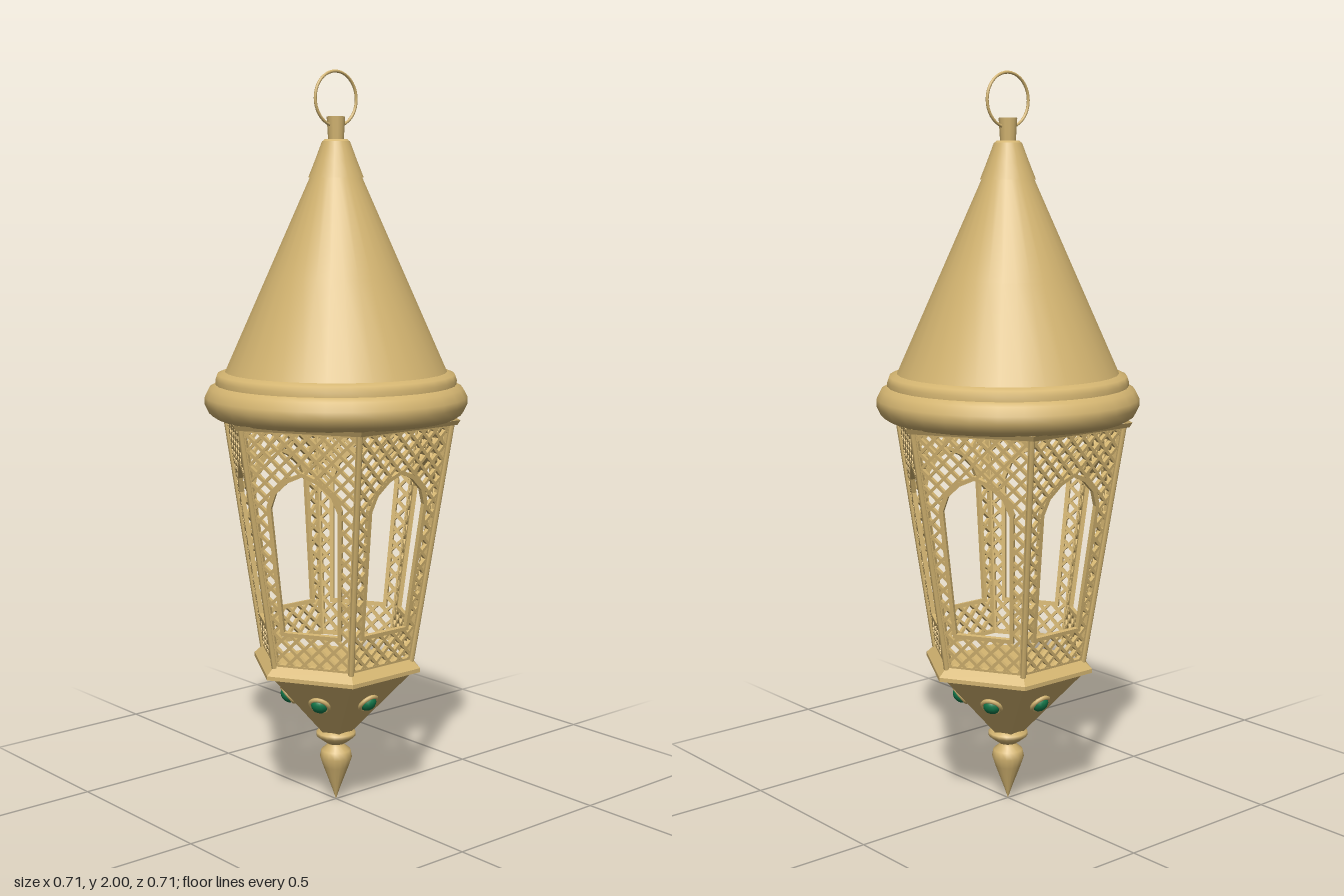
import * as THREE from 'three';
import { mergeGeometries } from 'three/addons/utils/BufferGeometryUtils.js';

const gold = new THREE.MeshStandardMaterial({ color: 0xd4b571 });
gold.name = 'brass';
const brassOpen = new THREE.MeshStandardMaterial({ color: 0xd4b571, side: THREE.DoubleSide });
brassOpen.name = 'brass double sided';
const green = new THREE.MeshStandardMaterial({ color: 0x12784a });
green.name = 'emerald';

const SIDES = 6, Y0 = 0.42, Y1 = 1.08, R0 = 0.217, R1 = 0.325;
const APO = Math.cos(Math.PI / 6);

function add(parent, name, geometry, material = gold) {
  const mesh = new THREE.Mesh(geometry, material);
  mesh.name = name;
  parent.add(mesh);
  return mesh;
}

function flat(geometry) {
  const g = geometry.toNonIndexed();
  g.computeVertexNormals();
  return g;
}

const lathe = (pts, n) =>
  new THREE.LatheGeometry(pts.map(([r, y]) => new THREE.Vector2(r, y)), n);

// Hexagonal frustum with a flat side facing +z
function hex(rTop, rBottom, yBottom, yTop, open) {
  const g = new THREE.CylinderGeometry(rTop, rBottom, yTop - yBottom, SIDES, 1, open, Math.PI / 6);
  return flat(g.translate(0, (yTop + yBottom) / 2, 0));
}

// Keep the part of a convex polygon left of the line a-b
function clip(poly, a, b) {
  const side = p => (b[0] - a[0]) * (p[1] - a[1]) - (b[1] - a[1]) * (p[0] - a[0]);
  const out = [];
  poly.forEach((p, i) => {
    const q = poly[(i + 1) % poly.length], sp = side(p), sq = side(q);
    if (sp >= 0) out.push(p);
    if (sp * sq < 0) {
      const k = sp / (sp - sq);
      out.push([p[0] + (q[0] - p[0]) * k, p[1] + (q[1] - p[1]) * k]);
    }
  });
  return out;
}

const area = poly => poly.reduce((s, p, i) => {
  const q = poly[(i + 1) % poly.length];
  return s + (p[0] * q[1] - q[0] * p[1]) / 2;
}, 0);

const toPath = (poly, Type) => new Type(poly.map(p => new THREE.Vector2(p[0], p[1])));

// Flat plate with an optional hole
function plate(outline, hole, depth) {
  const shape = toPath(outline, THREE.Shape);
  if (hole) shape.holes.push(toPath(hole, THREE.Path));
  return new THREE.ExtrudeGeometry(shape, { depth, bevelEnabled: false }).translate(0, 0, -0.006 - depth / 2);
}

// Arched window outline, widened by d
function windowOutline(d) {
  const right = [[0.075, 0.105], [0.092, 0.45], [0.076, 0.492], [0.04, 0.525], [0, 0.543]];
  const left = right.slice(0, 4).reverse().map(([x, y]) => [-x, y]);
  return [...right, ...left].map(([x, y]) =>
    [x * (1 + d / 0.085), 0.325 + (y - 0.325) * (1 + d / 0.22)]);
}

// Trapezoid panel outline, inset by d
function panelOutline(height, d) {
  const a = R0 / 2 - d, b = R1 / 2 - d;
  return [[-a, d], [a, d], [b, height - d], [-b, height - d]];
}

// Diagonal bars filling the panel around the window
function latticeGeometry(height) {
  const border = panelOutline(height, 0.011), frame = windowOutline(0.011);
  const pieces = [], w = 0.0057;
  for (const lean of [-height, height]) {
    for (let i = -21; i <= 21; i++) {
      const c = i * 0.042 - lean / 2;
      let bar = [[c - w, 0], [c + w, 0], [c + w + lean, height], [c - w + lean, height]];
      border.forEach((a, k) => { bar = clip(bar, a, border[(k + 1) % 4]); });
      // Cut the window out of the bar, one edge at a time
      frame.forEach((a, k) => {
        const b = frame[(k + 1) % frame.length];
        const outside = clip(bar, b, a);
        if (area(outside) > 1e-6) pieces.push(plate(outside, null, 0.011));
        bar = clip(bar, a, b);
      });
    }
  }
  return mergeGeometries(pieces);
}

export function createModel() {
  const lantern = new THREE.Group();
  lantern.name = 'lantern';

  // Roof: rounded collar, small step and tall cone
  add(lantern, 'roofCollar', lathe([
    [0.27, 1.09], [0.325, 1.085], [0.343, 1.097], [0.354, 1.12], [0.354, 1.14],
    [0.342, 1.163], [0.325, 1.173]], 32), brassOpen);
  add(lantern, 'roofStep', lathe([[0.325, 1.17], [0.325, 1.185], [0.32, 1.2], [0.298, 1.207]], 32), brassOpen);
  add(lantern, 'roofCone', lathe([[0.302, 1.2], [0.186, 1.46], [0.07, 1.72]], 32), brassOpen);
  add(lantern, 'roofCap', lathe([[0.074, 1.72], [0.056, 1.765], [0.037, 1.815]], 24), brassOpen);
  add(lantern, 'roofCapTop', new THREE.CylinderGeometry(0.03, 0.037, 0.006, 24)).position.y = 1.817;
  add(lantern, 'stem', new THREE.CylinderGeometry(0.025, 0.021, 0.062, 12)).position.y = 1.848;
  add(lantern, 'hangingRing', new THREE.TorusGeometry(0.071, 0.004, 8, 40)).position.y = 1.925;

  // Lips above and below the lattice body
  add(lantern, 'upperLip', hex(0.348, 0.34, 1.075, 1.088, true), brassOpen);
  add(lantern, 'lowerLip', hex(0.243, 0.243, 0.391, 0.402, true));
  add(lantern, 'lowerLipSlope', hex(0.218, 0.243, 0.402, 0.425, true));

  // Six pierced panels and corner posts
  const rise = Y1 - Y0;
  const tilt = Math.atan2((R1 - R0) * APO, rise);
  const slant = Math.hypot((R1 - R0) * APO, rise);
  const borderGeo = plate(panelOutline(slant, 0), panelOutline(slant, 0.011), 0.012);
  const frameGeo = plate(windowOutline(0.011), windowOutline(0), 0.012);
  const latticeGeo = latticeGeometry(slant);
  const postGeo = new THREE.CylinderGeometry(0.008, 0.008, Math.hypot(R1 - R0, rise), 6);
  const gemTilt = Math.atan2(0.172 * APO, 0.185);
  for (let k = 0; k < SIDES; k++) {
    const side = new THREE.Group();
    side.name = 'lanternSide' + (k + 1);
    side.rotation.y = k * Math.PI / 3;
    lantern.add(side);

    const panel = new THREE.Group();
    panel.name = 'panel';
    panel.position.set(0, Y0, R0 * APO);
    panel.rotation.x = tilt;
    side.add(panel);
    add(panel, 'panelBorder', borderGeo);
    add(panel, 'windowFrame', frameGeo);
    add(panel, 'lattice', latticeGeo);

    const post = add(side, 'cornerPost', postGeo);
    post.position.set((R0 + R1) / 2, (Y0 + Y1) / 2, 0);
    post.rotation.z = -Math.atan2(R1 - R0, rise);

    // Jewel in a raised setting on the base
    const jewel = new THREE.Group();
    jewel.name = 'jewel';
    jewel.position.set(0, 0.313, 0.131);
    jewel.rotation.x = gemTilt;
    side.add(jewel);
    add(jewel, 'jewelSetting', new THREE.TorusGeometry(0.026, 0.006, 6, 16)).position.z = 0.004;
    const stone = add(jewel, 'jewelStone', new THREE.SphereGeometry(0.024, 12, 8), green);
    stone.scale.z = 0.8;
    stone.position.z = 0.004;
  }

  // Tapered base and turned finial
  add(lantern, 'base', hex(0.217, 0.045, 0.2, 0.385, false));
  add(lantern, 'finialCollar', lathe([
    [0, 0.163], [0.026, 0.165], [0.04, 0.175], [0.055, 0.187], [0.055, 0.197], [0.042, 0.206], [0, 0.206]], 16));
  add(lantern, 'finial', lathe([
    [0, 0], [0.012, 0.035], [0.036, 0.098], [0.045, 0.125], [0.041, 0.145], [0.025, 0.158], [0.022, 0.172]], 16));

  return lantern;
}
